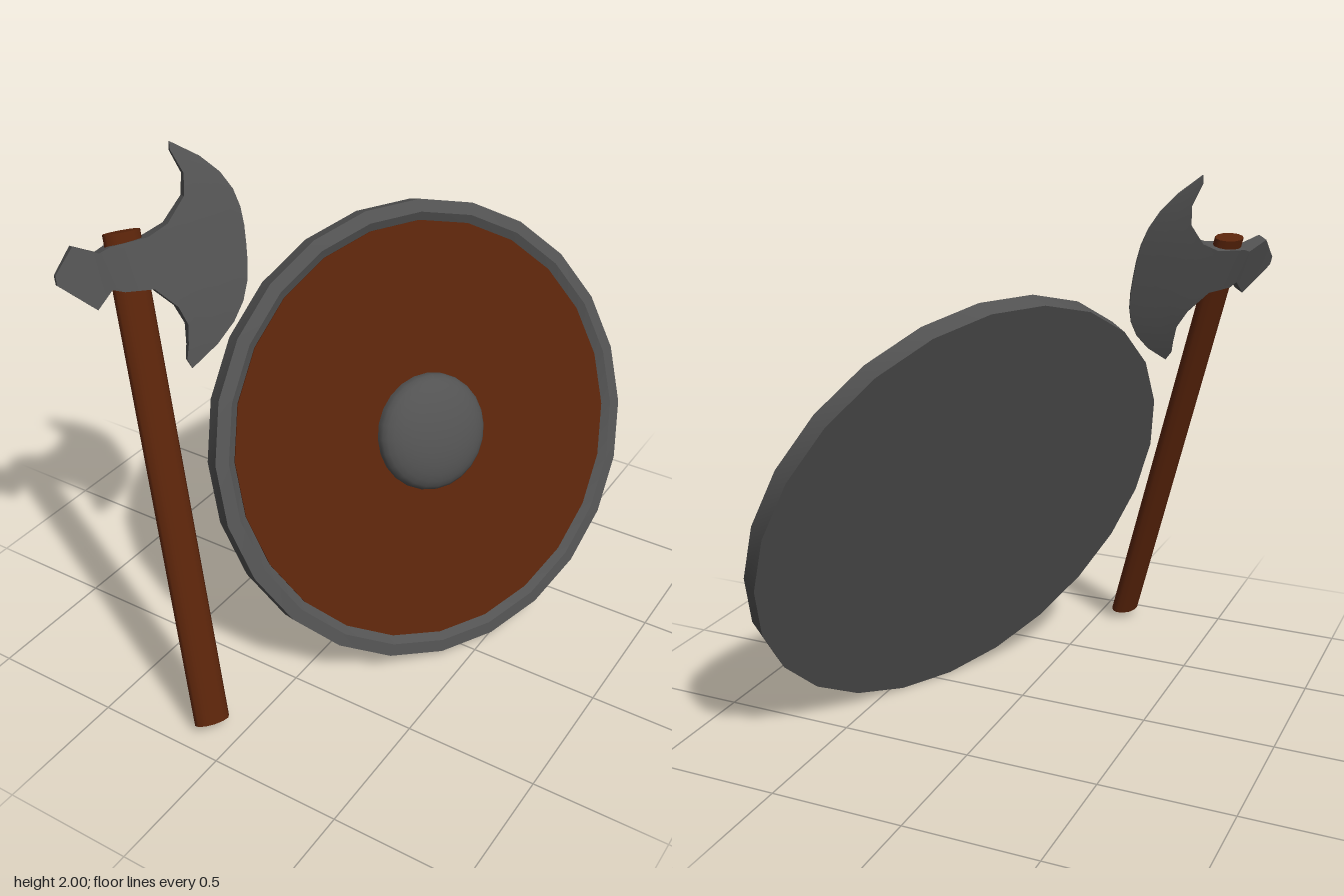
import * as THREE from 'three';
import { toCreasedNormals } from 'three/addons/utils/BufferGeometryUtils.js';

const metal = new THREE.MeshStandardMaterial({ color: 0x525252 });
const wood = new THREE.MeshStandardMaterial({ color: 0x5a240a });
const SIDES = 24;

function part(name, geometry, material) {
  const mesh = new THREE.Mesh(geometry, material);
  mesh.name = name;
  return mesh;
}

// Group whose local x and y axes point along the given directions
function placedGroup(name, origin, xDir, yDir) {
  const y = new THREE.Vector3(...yDir).normalize();
  const x = new THREE.Vector3(...xDir);
  x.addScaledVector(y, -x.dot(y)).normalize();
  const z = new THREE.Vector3().crossVectors(x, y);
  const group = new THREE.Group();
  group.name = name;
  group.quaternion.setFromRotationMatrix(new THREE.Matrix4().makeBasis(x, y, z));
  group.position.set(...origin);
  return group;
}

function lathe(profile, crease) {
  const points = profile.map(([r, y]) => new THREE.Vector2(r, y));
  return toCreasedNormals(new THREE.LatheGeometry(points, SIDES), crease);
}

// Axe head lofted from the poll to the cutting edge.
// Station: top p, top q, bottom p, bottom q, forward bulge, half thickness
function axeHeadGeometry() {
  const stations = [
    [-0.24, -0.10, -0.24, -0.133, 0, 0.012],
    [-0.17, -0.016, -0.125, -0.238, 0, 0.022],
    [-0.09, -0.053, -0.068, -0.18, 0, 0.032],
    [-0.052, -0.038, -0.03, -0.194, 0, 0.042],
    [0.079, -0.03, 0.07, -0.205, 0, 0.042],
    [0.155, 0.0, 0.142, -0.283, 0.01, 0.031],
    [0.229, 0.079, 0.167, -0.35, 0.06, 0.022],
    [0.243, 0.152, 0.158, -0.42, 0.12, 0.015],
    [0.212, 0.235, 0.146, -0.47, 0.2, 0.009],
    [0.216, 0.263, 0.16, -0.506, 0.235, 0.002],
  ];
  const n = 12;
  const loop = 2 * (n + 1);
  const pos = [];
  const index = [];
  for (const [pt, qt, pb, qb, bulge, half] of stations) {
    for (let k = 0; k < loop; k++) {
      const front = k <= n;
      const t = (front ? k : loop - 1 - k) / n;
      const bow = bulge * (1 - Math.abs(2 * t - 1) ** 3);
      pos.push(pt + (pb - pt) * t + bow, qt + (qb - qt) * t, front ? half : -half);
    }
  }
  const last = (stations.length - 1) * loop;
  for (let s = 0; s < last; s += loop) {
    for (let k = 0; k < loop; k++) {
      const a = s + k, b = s + (k + 1) % loop;
      index.push(a, b, b + loop, a, b + loop, a + loop);
    }
  }
  // End caps join front and back points
  for (let k = 0; k < n; k++) {
    const a = k, b = k + 1, c = loop - 2 - k, d = loop - 1 - k;
    index.push(a, c, b, a, d, c);
    index.push(last + a, last + b, last + c, last + a, last + c, last + d);
  }
  const geometry = new THREE.BufferGeometry();
  geometry.setAttribute('position', new THREE.Float32BufferAttribute(pos, 3));
  geometry.setIndex(index);
  return toCreasedNormals(geometry, 0.5);
}

function createShield() {
  const shield = placedGroup('shield', [0.17, 0.822, -0.16], [0.481, 0, -0.877], [0.82, 0.352, 0.45]);

  // Metal back and bevelled rim
  const rim = lathe([[0, -0.04], [0.867, -0.04], [0.867, 0.035], [0.82, 0.044], [0.785, 0.018]], 0.4);
  // Wooden face, slightly recessed
  const board = new THREE.CylinderGeometry(0.79, 0.79, 0.04, SIDES);
  board.translate(0, 0.006, 0);
  // Domed centre boss
  const dome = [[0.222, 0.02]];
  for (let i = 0; i <= 8; i++) {
    const a = (i / 8) * Math.PI / 2;
    dome.push([0.222 * Math.cos(a), 0.04 + 0.085 * Math.sin(a)]);
  }
  shield.add(
    part('shieldRim', rim, metal),
    part('shieldBoard', board, wood),
    part('shieldBoss', lathe(dome, 0.8), metal),
  );
  // Turn half a side so an edge sits at the top
  shield.rotateY(Math.PI / SIDES);
  return shield;
}

function createAxe() {
  const axe = placedGroup('axe', [-0.59, 1.75, 0.585], [0.542, 0.004, -0.84], [-0.48, 1.71, -0.295]);

  // Oval handle
  const handle = new THREE.CylinderGeometry(1, 1, 1.8, 12);
  handle.scale(0.065, 1, 0.035);
  handle.translate(0.003, -0.9, 0);
  axe.add(part('axeHandle', handle, wood), part('axeHead', axeHeadGeometry(), metal));
  return axe;
}

export function createModel() {
  const model = new THREE.Group();
  model.name = 'shieldAndAxe';
  model.add(createShield(), createAxe());
  return model;
}
